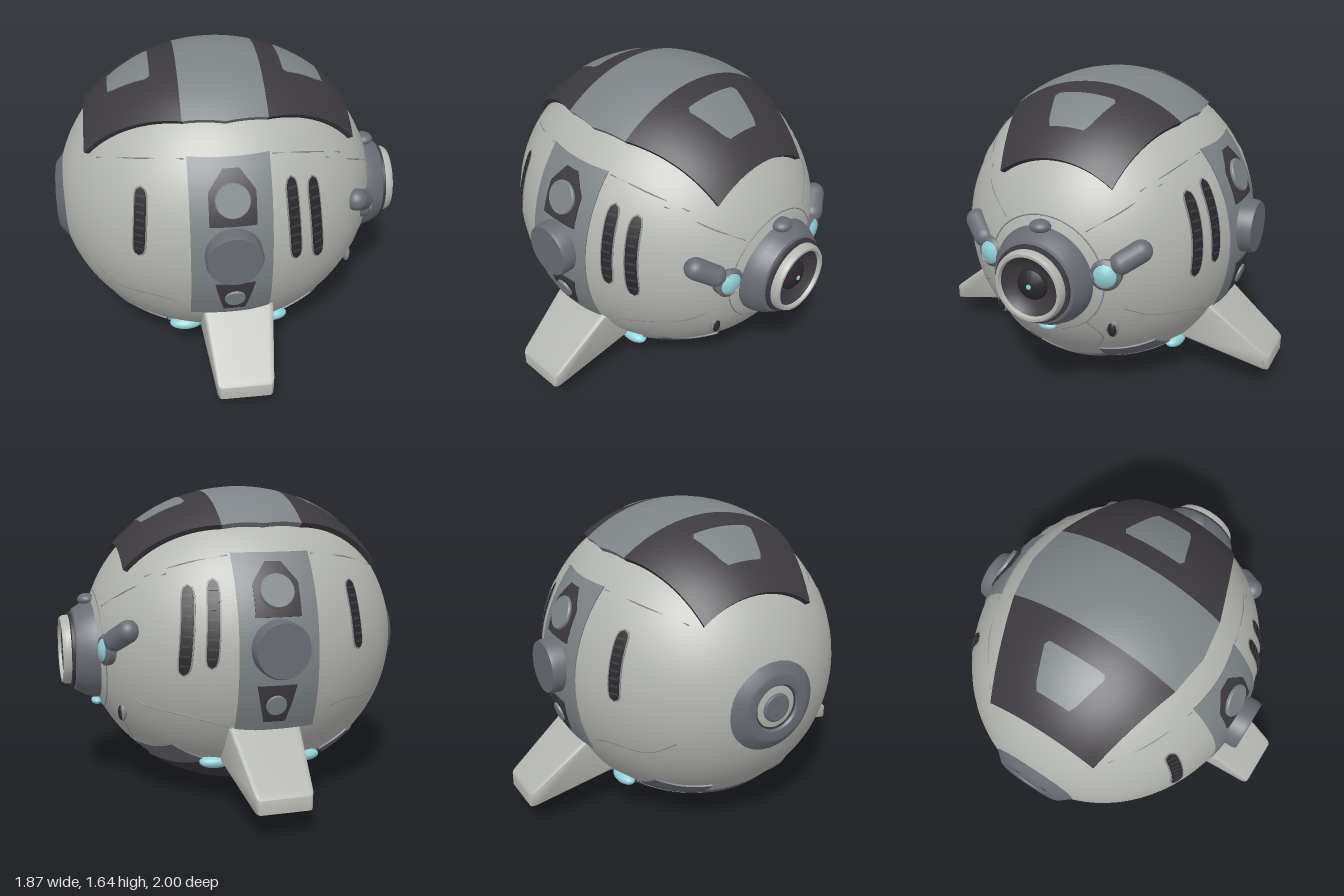
import * as THREE from 'three';
import { toCreasedNormals } from 'three/addons/utils/BufferGeometryUtils.js';
import { RoundedBoxGeometry } from 'three/addons/geometries/RoundedBoxGeometry.js';

const mat = (name, color) => {
  const m = new THREE.MeshStandardMaterial({ color });
  m.name = name;
  return m;
};

export function createModel() {
  const shell = mat('shellGrey', 0xb3b5b0), mid = mat('midGrey', 0x7d8386), steel = mat('steelGrey', 0x686c73);
  const dark = mat('charcoal', 0x3d3a3f), black = mat('ventBlack', 0x29272b), cyan = mat('glowCyan', 0x8ecfd3);
  const seamGrey = mat('seamGrey', 0x85878a);

  const model = new THREE.Group();
  const C = [-0.06, 0.81, 0], R = [0.865, 0.8, 0.78]; // hull centre and radii
  const add = (name, geo, material, parent = model) => {
    const m = new THREE.Mesh(geo, material);
    m.name = name;
    parent.add(m);
    return m;
  };

  // Point on the hull: two coordinates given, the third solved along an axis
  const onHull = (axis, sign, a, b, lift = 0) => {
    const o = [0, 1, 2].filter(i => i !== axis), p = [0, 0, 0];
    p[o[0]] = a;
    p[o[1]] = b;
    const q = 1 - ((a - C[o[0]]) / R[o[0]]) ** 2 - ((b - C[o[1]]) / R[o[1]]) ** 2;
    p[axis] = C[axis] + sign * R[axis] * Math.sqrt(Math.max(q, 0));
    return new THREE.Vector3(...p.map((v, i) => C[i] + (v - C[i]) * (1 + lift)));
  };
  const normalAt = p => new THREE.Vector3(
    (p.x - C[0]) / R[0] ** 2, (p.y - C[1]) / R[1] ** 2, (p.z - C[2]) / R[2] ** 2).normalize();

  // Curved plate following the hull, with a skirt sunk into it
  const plate = (name, axis, sign, fn, lift, material, n = 20, m = 16) => {
    const pos = [], idx = [], w = m + 3;
    for (let i = -1; i <= n + 1; i++) for (let j = -1; j <= m + 1; j++) {
      const u = Math.min(Math.max(i / n, 0), 1), v = Math.min(Math.max(j / m, 0), 1);
      const rim = i < 0 || j < 0 || i > n || j > m;
      pos.push(...onHull(axis, sign, ...fn(u, v), rim ? -0.02 : lift).toArray());
    }
    const at = k => new THREE.Vector3().fromArray(pos, k * 3);
    const c = (1 + (n >> 1)) * w + 1 + (m >> 1), o = at(c);
    const flip = at(c + w).sub(o).cross(at(c + 1).sub(o)).dot(normalAt(o)) < 0;
    for (let i = 0; i < n + 2; i++) for (let j = 0; j < m + 2; j++) {
      const a = i * w + j, b = a + w, d = b + 1, e = a + 1;
      idx.push(...(flip ? [a, d, b, a, e, d] : [a, b, d, a, d, e]));
    }
    const g = new THREE.BufferGeometry();
    g.setAttribute('position', new THREE.Float32BufferAttribute(pos, 3));
    g.setIndex(idx);
    return add(name, toCreasedNormals(g, 0.6), material);
  };
  const L = THREE.MathUtils.lerp;
  const quad = (p, q, r, s) => (u, v) => [0, 1].map(k => L(L(p[k], q[k], u), L(s[k], r[k], u), v));
  // Interpolates a short list of [position, value] pairs
  const profile = (pts, x) => {
    let i = 1;
    while (i < pts.length - 1 && x > pts[i][0]) i++;
    const [a, b] = [pts[i - 1], pts[i]];
    return L(a[1], b[1], (x - a[0]) / (b[0] - a[0]));
  };
  // Symmetric outlines, widening along the first or the second coordinate
  const alongA = (a0, a1, pts) => (u, v) => {
    const a = L(a0, a1, u);
    return [a, (2 * v - 1) * profile(pts, a)];
  };
  const alongB = (b0, b1, cx, pts) => (u, v) => {
    const b = L(b0, b1, u);
    return [cx + (2 * v - 1) * profile(pts, b), b];
  };

  // Turned part pointing along a direction; profile is [radius, height]
  const turned = (name, pts, material, pos, dir, segs = 48) => {
    const g = new THREE.LatheGeometry(pts.map(p => new THREE.Vector2(...p)), segs);
    const m = add(name, toCreasedNormals(g, 0.5), material);
    m.position.copy(pos);
    m.quaternion.setFromUnitVectors(new THREE.Vector3(0, 1, 0), dir.clone().normalize());
    return m;
  };
  const V = (x, y, z) => new THREE.Vector3(x, y, z);
  const button = (name, p, r, h, material, dir = normalAt(p)) =>
    turned(name, [[r, -0.05], [r, h * 0.75], [r * 0.95, h], [0, h]], material, p, dir);
  const blob = (name, p, size, material) => {
    const m = add(name, new THREE.SphereGeometry(1, 28, 18), material);
    m.position.copy(p);
    m.scale.set(...size);
    return m;
  };
  const capsule = (name, a, b, r, material) => {
    const d = b.clone().sub(a), m = add(name, new THREE.CapsuleGeometry(r, d.length(), 8, 20), material);
    m.position.copy(a).add(b).multiplyScalar(0.5);
    m.quaternion.setFromUnitVectors(V(0, 1, 0), d.normalize());
  };
  const seam = (axis, sign, pts, closed = false) => {
    const curve = new THREE.CatmullRomCurve3(pts.map(p => onHull(axis, sign, ...p)), closed);
    add('panelSeam', new THREE.TubeGeometry(curve, closed ? 72 : 24, 0.0035, 5, closed), seamGrey);
  };

  // Hull
  const hull = blob('hull', V(...C), R, shell);
  hull.geometry = new THREE.SphereGeometry(1, 80, 56);

  // Top cover with its centre band and light insets
  const coverEdge = [[-0.73, 0.3], [-0.26, 0.455], [-0.055, 0.485], [0.15, 0.455], [0.61, 0.3]];
  plate('coverLeftEnd', 1, 1, alongA(-0.73, -0.26, coverEdge), 0.035, dark);
  plate('coverBand', 1, 1, alongA(-0.26, 0.15, coverEdge), 0.035, mid);
  plate('coverRightEnd', 1, 1, alongA(0.15, 0.61, coverEdge), 0.035, dark);
  plate('coverInset', 1, 1, alongA(-0.6, -0.39, [[-0.6, 0.09], [-0.57, 0.11], [-0.41, 0.165], [-0.39, 0.15]]), 0.039, mid);
  plate('coverInset', 1, 1, alongA(0.265, 0.48, [[0.265, 0.15], [0.285, 0.165], [0.45, 0.11], [0.48, 0.09]]), 0.039, mid);

  // Belly plate
  plate('bellyPlate', 1, -1, alongA(-0.58, 0.46,
    [[-0.58, 0.2], [-0.37, 0.48], [-0.06, 0.55], [0.25, 0.48], [0.46, 0.2]]), 0.012, dark, 30, 24);

  for (const s of [1, -1]) {
    // Belly corner plates
    for (const k of [1, -1]) {
      const f = (x, z) => [-0.06 + k * x, s * z];
      plate('bellyCorner', 1, -1, quad(f(0.52, 0.2), f(0.32, 0.485), f(0.48, 0.46), f(0.63, 0.21)), 0.01, steel);
      blob('thruster', onHull(2, s, -0.04 + k * 0.235, 0.235), [0.09, 0.035, 0.05], cyan);
    }

    // Side band with instrument frames and knob
    plate('sideBand', 2, s, quad([-0.26, 0.45], [0.15, 0.45], [0.145, 1.32], [-0.255, 1.32]), 0.008, mid);
    plate('upperFrame', 2, s, alongB(1.02, 1.275, -0.05,
      [[1.02, 0.115], [1.18, 0.115], [1.25, 0.06], [1.275, 0.04]]), 0.016, dark);
    plate('lowerFrame', 2, s, alongB(0.5, 0.69, -0.04, [[0.5, 0.055], [0.6, 0.08], [0.69, 0.1]]), 0.016, dark);
    button('upperDial', onHull(2, s, -0.05, 1.14), 0.088, 0.025, mid);
    button('lowerDial', onHull(2, s, -0.04, 0.59), 0.053, 0.022, mid);
    button('sideKnob', V(-0.05, 0.87, s * 0.77), 0.143, 0.075, steel, V(0, 0, s));

    // Slotted vents with ribs
    for (const [x0, y0, x1, y1] of [[-0.51, 0.83, -0.48, 1.17], [0.275, 0.78, 0.245, 1.2], [0.4, 0.74, 0.36, 1.17]]) {
      const slot = (grow) => (u, v) => {
        const e = Math.pow(1 - Math.pow(Math.abs(2 * u - 1), 8), 0.5);
        return [L(x0, x1, u) + (2 * v - 1) * (0.027 + grow) * e, L(y0 - grow, y1 + grow, u)];
      };
      plate('ventRim', 2, s, slot(0.007), 0.003, seamGrey, 32, 4);
      plate('vent', 2, s, slot(0), 0.006, black, 32, 4);
      for (let i = 1; i < 9; i++) {
        const t = i / 9, x = L(x0, x1, t), y = L(y0, y1, t);
        plate('ventRib', 2, s, quad([x - 0.02, y - 0.005], [x + 0.02, y - 0.005],
          [x + 0.02, y + 0.005], [x - 0.02, y + 0.005]), 0.009, dark, 2, 2);
      }
    }

    // Landing fin: a rounded box tapered from root to tip
    const fin = new RoundedBoxGeometry(1, 1, 1, 3, 0.07), p = fin.attributes.position;
    for (let i = 0; i < p.count; i++) {
      const t = p.getZ(i) + 0.5, h = p.getY(i) + 0.5;
      p.setXYZ(i, p.getX(i) * L(0.39, 0.285, t),
        L(L(0.245, 0.12, t), L(0.525, 0.2, t), h), L(L(0.5, 0.6, h), 1, t));
    }
    const finMesh = add('landingFin', toCreasedNormals(fin, 0.6), shell);
    finMesh.position.x = -0.01;
    finMesh.rotation.y = s > 0 ? 0 : Math.PI;

    // Sensor arm, side lamp and lug beside the eye
    capsule('sensorArm', V(0.74, 0.79, s * 0.16), V(0.69, 0.82, s * 0.31), 0.06, steel);
    const out = V(1, 0.05, s * 0.22);
    turned('lampSocket', [[0.085, -0.06], [0.08, 0.04], [0.062, 0.055], [0.055, 0.045]], steel, V(0.7, 0.82, s * 0.315), out);
    turned('sideLamp', [[0.06, 0], [0.058, 0.05], [0.035, 0.064], [0, 0.068]], cyan, V(0.7, 0.82, s * 0.315), out);
    capsule('sensorLug', V(0.69, 0.88, s * 0.385), V(0.635, 0.935, s * 0.465), 0.058, steel);

    // Small lower port
    const port = onHull(0, 1, 0.49, s * 0.32);
    blob('portRim', port, [0.02, 0.052, 0.036], seamGrey);
    blob('port', port.clone().addScaledVector(normalAt(port), 0.008), [0.02, 0.042, 0.026], black);

    // Panel seams
    seam(2, s, [[-0.69, 1.22], [-0.5, 1.28], [-0.27, 1.31]]);
    seam(2, s, [[0.16, 1.31], [0.36, 1.27], [0.54, 1.2]]);
    seam(2, s, [[-0.74, 0.64], [-0.62, 0.56], [-0.42, 0.56], [-0.2, 0.49]]);
    seam(2, s, [[0.16, 0.46], [0.36, 0.52], [0.56, 0.56], [0.66, 0.62]]);
    seam(0, 1, [[1.22, s * 0.49], [1.12, s * 0.36], [1.03, s * 0.22]]);
    seam(0, 1, [[0.53, s * 0.21], [0.42, s * 0.26], [0.31, s * 0.2]]);
  }
  seam(0, 1, Array.from({ length: 24 }, (_, i) => {
    const a = i / 24 * Math.PI * 2;
    return [0.77 + 0.315 * Math.cos(a), 0.315 * Math.sin(a)];
  }), true);

  // Main eye
  const eye = V(0, 0.77, 0), X = V(1, 0, 0);
  turned('eyeHousing', [[0.27, 0.68], [0.265, 0.77], [0.25, 0.815], [0.22, 0.865], [0.2, 0.872], [0.19, 0.86]], steel, eye, X);
  turned('eyeGasket', [[0.205, 0.85], [0.205, 0.885], [0.18, 0.89]], dark, eye, X);
  turned('eyeRing', [[0.188, 0.87], [0.186, 0.915], [0.176, 0.932], [0.162, 0.932], [0.155, 0.915]], shell, eye, X);
  turned('eyeDish', [[0.16, 0.92], [0.14, 0.9], [0.09, 0.875], [0, 0.87]], dark, eye, X);
  turned('pupil', [[0.085, 0.865], [0.078, 0.89], [0.05, 0.908], [0, 0.916]], black, eye, X);
  turned('pupilLight', [[0.014, 0.91], [0.012, 0.919], [0, 0.921]], cyan, eye, X, 16);
  blob('browLug', V(0.785, 1.04, 0), [0.05, 0.032, 0.055], steel);
  blob('chinLamp', V(0.745, 0.478, 0), [0.03, 0.022, 0.05], cyan);

  // Rear cap
  const rear = V(0, 0.8, 0), back = V(-1, 0, 0);
  turned('rearCap', [[0.255, 0.8], [0.25, 0.875], [0.185, 0.93], [0.17, 0.935], [0.125, 0.932], [0.115, 0.915]], steel, rear, back);
  turned('rearGroove', [[0.125, 0.922], [0.1, 0.912], [0, 0.912]], dark, rear, back);
  turned('rearHub', [[0.075, 0.905], [0.075, 0.925], [0.065, 0.932], [0, 0.932]], steel, rear, back);

  return model;
}
